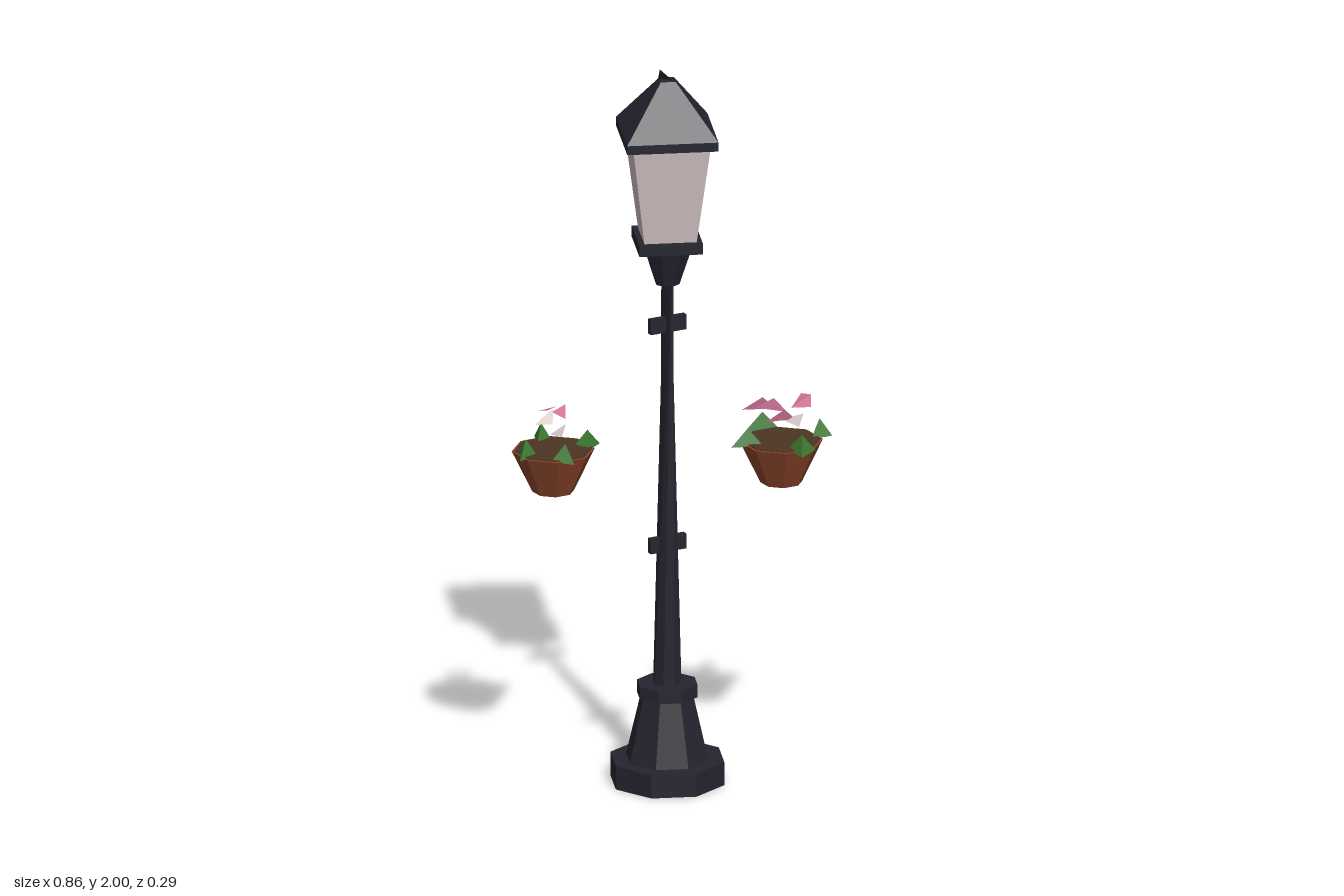
import * as THREE from 'three';

const mat = (name, color, double = false) => {
  const m = new THREE.MeshStandardMaterial({ color, flatShading: true });
  m.name = name;
  if (double) m.side = THREE.DoubleSide;
  return m;
};

export function createModel() {
  const iron = mat('dark iron', 0x252530);
  const glass = mat('lantern glass', 0xcfbfbf);
  const clay = mat('terracotta', 0x8c472b);
  const earth = mat('soil', 0x4c3523);
  const green = mat('leaf green', 0x3e7a32, true);
  const pink = mat('petal pink', 0xcc7095, true);
  const white = mat('petal white', 0xdccccc, true);

  const model = new THREE.Group();
  model.name = 'streetLamp';
  const lamp = new THREE.Group();
  lamp.name = 'lampPost';
  lamp.position.x = -0.015;
  model.add(lamp);

  const add = (parent, name, geo, material) => {
    const mesh = new THREE.Mesh(geo, material);
    mesh.name = name;
    parent.add(mesh);
    return mesh;
  };

  // Straight-sided tier with flats facing the axes; radii are half widths
  const tier = (name, bottom, top, y0, y1, sides, material) => {
    const k = 1 / Math.cos(Math.PI / sides);
    const geo = new THREE.CylinderGeometry(top * k, bottom * k, y1 - y0, sides, 1);
    geo.rotateY(Math.PI / sides);
    geo.translate(0, (y0 + y1) / 2, 0);
    return add(lamp, name, geo, material);
  };

  // Closed solid from four corners, or a single face from three
  const facets = (points) => {
    const faces = points.length === 4 ? [0, 1, 2, 0, 3, 1, 1, 3, 2, 2, 3, 0] : [0, 1, 2];
    const geo = new THREE.BufferGeometry();
    const pos = faces.flatMap((i) => points[i]);
    geo.setAttribute('position', new THREE.Float32BufferAttribute(pos, 3));
    geo.computeVertexNormals();
    return geo;
  };

  // Base
  tier('basePlinth', 0.145, 0.145, 0, 0.065, 8, iron);
  tier('baseTaper', 0.105, 0.067, 0.065, 0.24, 8, iron);
  tier('baseCollar', 0.077, 0.077, 0.24, 0.275, 8, iron);

  // Pole: an octagon that narrows to a skewed blade at the top
  const pole = tier('pole', 0.036, 0.034, 0.27, 1.41, 8, iron);
  const p = pole.geometry.attributes.position;
  for (let i = 0; i < p.count; i++) {
    if (p.getY(i) > 1) p.setX(i, p.getX(i) * 0.12 + p.getZ(i) * 0.3);
  }

  // Thin slanted bands on the pole
  for (const y of [0.665, 1.28]) {
    const band = add(lamp, 'poleBand', new THREE.BoxGeometry(0.106, 0.042, 0.016), iron);
    band.position.y = y;
    band.rotation.y = 0.36;
  }

  // Lantern
  tier('lanternNeck', 0.031, 0.063, 1.395, 1.5, 8, iron);
  tier('lanternTray', 0.085, 0.085, 1.5, 1.53, 4, iron);
  tier('lanternGlass', 0.07, 0.103, 1.53, 1.8, 4, glass);
  tier('roofEave', 0.122, 0.122, 1.8, 1.825, 4, iron);
  tier('roof', 0.122, 0.02, 1.825, 1.965, 4, iron);
  add(lamp, 'finial', facets([
    [-0.024, 1.95, -0.022], [-0.022, 1.95, 0.022], [0.022, 1.955, 0], [-0.022, 2, 0.015],
  ]), iron);

  // Hanging pots
  const pot = (name, x, leaves, flowers) => {
    const group = new THREE.Group();
    group.name = name;
    group.position.x = x;
    model.add(group);

    const bowl = new THREE.CylinderGeometry(0.111, 0.056, 0.115, 8);
    add(group, 'pot', bowl, clay).position.y = 0.8825;
    const soil = new THREE.CylinderGeometry(0.104, 0.104, 0.006, 8);
    add(group, 'soil', soil, earth).position.y = 0.94;

    // Each leaf is a low pyramid over three [x, z] corners
    for (const c of leaves) {
      const mid = [0, 1].map((k) => (c[0][k] + c[1][k] + c[2][k]) / 3);
      const base = c.map(([a, b]) => [a, 0.937, b]);
      add(group, 'leaf', facets([...base, [mid[0], 0.985, mid[1]]]), green);
    }
    for (const [material, ...corners] of flowers) {
      add(group, 'petal', facets(corners), material);
    }
  };

  pot('rightPot', -0.32, [
    [[0.057, -0.025], [0.13, -0.044], [0.094, 0.007]],
    [[-0.035, -0.127], [0.006, -0.092], [-0.035, -0.058]],
    [[-0.089, 0], [-0.047, 0.035], [-0.098, 0.076]],
    [[0.041, 0.046], [0.041, 0.122], [-0.017, 0.092]],
  ], [
    [white, [-0.048, 1.01, -0.005], [0.006, 1.04, -0.048], [-0.002, 1.01, 0]],
    [pink, [-0.026, 1.01, -0.115], [0.02, 1.03, -0.09], [-0.008, 1.03, -0.06]],
    [pink, [0.005, 1.02, -0.073], [0.046, 1.03, -0.105], [0.04, 1.005, -0.055]],
    [white, [-0.016, 1.005, 0.063], [0.025, 1.035, 0.07], [0.01, 1.01, 0.105]],
  ]);

  pot('leftPot', 0.29, [
    [[-0.034, -0.132], [-0.087, -0.09], [0.008, -0.104]],
    [[0.098, -0.076], [0.14, -0.032], [0.082, -0.007]],
    [[-0.087, -0.007], [-0.138, 0.035], [-0.052, 0.03]],
    [[0.01, 0.062], [0.082, 0.078], [0.038, 0.139]],
  ], [
    [pink, [-0.1, 1.015, -0.044], [-0.01, 1.015, -0.046], [-0.045, 1.05, -0.04]],
    [pink, [-0.07, 1.035, 0], [0.015, 1.02, 0.002], [-0.02, 1.06, 0]],
    [pink, [-0.05, 1.015, 0.065], [0.03, 1.02, 0.06], [0.0, 1.05, 0.068]],
    [pink, [0.03, 1.02, -0.03], [0.088, 1.04, -0.075], [0.083, 1.02, -0.03]],
    [pink, [0.03, 1.02, -0.03], [0.06, 1.05, -0.06], [0.088, 1.04, -0.075]],
    [white, [-0.005, 1.015, 0.046], [0.05, 1.04, 0.076], [0.035, 1.01, 0.1]],
  ]);

  return model;
}
